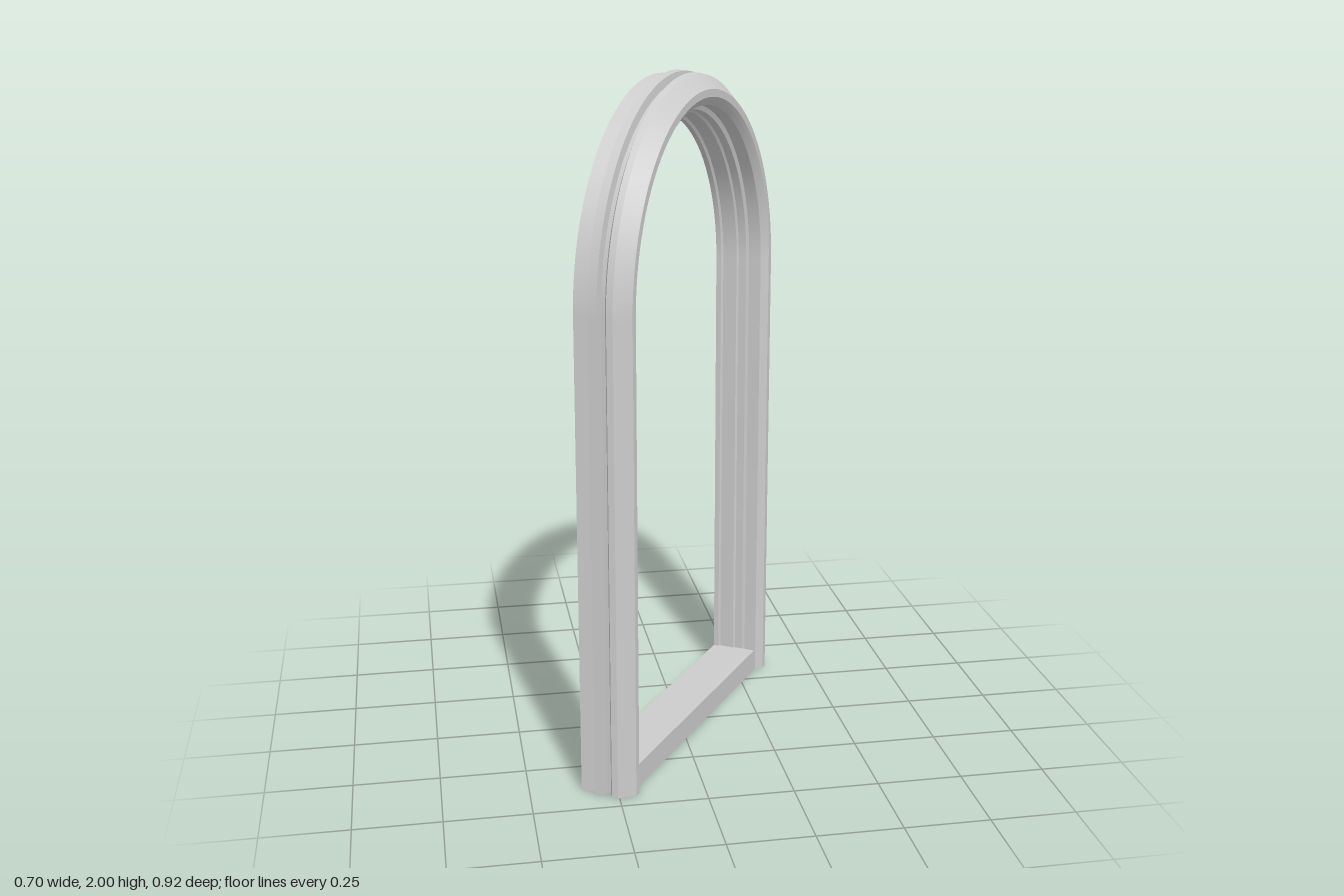
import * as THREE from 'three';

const SPRING = 1.39, CROWN = 2.0, OUTER = 0.528, ARC_STEPS = 48;
const RISE = (CROWN - SPRING) / OUTER; // the arch is a little taller than a half circle

// Moulding section [distance from centre line, depth], outer back -> front -> inner back
const SECTION = [
  [0.519, -0.066], [0.512, -0.021], [0.528, -0.018], [0.526, 0.007], [0.505, 0.010],
  [0.505, 0.022], [0.523, 0.034], [0.520, 0.052], [0.485, 0.093], [0.466, 0.093],
  [0.458, 0.086], [0.446, 0.074], [0.446, 0.035], [0.434, 0.030], [0.434, 0.005],
  [0.428, 0.000], [0.428, -0.045], [0.421, -0.050], [0.421, -0.066],
];

const material = new THREE.MeshStandardMaterial({ color: 0xcccccc, side: THREE.DoubleSide });

// Jamb, arch, jamb: one section point carried along the whole path
function sweepPoint([u, n]) {
  const points = [[u, 0, n]];
  for (let i = 0; i <= ARC_STEPS; i++) {
    const a = (Math.PI * i) / ARC_STEPS;
    points.push([u * Math.cos(a), SPRING + u * RISE * Math.sin(a), n]);
  }
  points.push([-u, 0, n]);
  return points;
}

// Each facet of the section has its own vertices, so edges stay sharp across
// the moulding while the surface is smooth along the arch
function sweepSection(section) {
  const positions = [], indices = [];
  for (let s = 0; s < section.length - 1; s++) {
    const a = sweepPoint(section[s]), b = sweepPoint(section[s + 1]);
    const base = positions.length / 3;
    for (let i = 0; i < a.length; i++) positions.push(...a[i], ...b[i]);
    for (let i = 0; i < a.length - 1; i++) {
      const k = base + i * 2;
      indices.push(k, k + 2, k + 1, k + 1, k + 2, k + 3);
    }
  }
  const geometry = new THREE.BufferGeometry();
  geometry.setAttribute('position', new THREE.Float32BufferAttribute(positions, 3));
  geometry.setIndex(indices);
  geometry.computeVertexNormals();
  return geometry;
}

function addMesh(parent, name, geometry) {
  const mesh = new THREE.Mesh(geometry, material);
  mesh.name = name;
  parent.add(mesh);
  return mesh;
}

export function createModel() {
  const model = new THREE.Group();
  model.name = 'archedFrame';

  // Moulded casing, open at the back and at the feet
  addMesh(model, 'archCasing', sweepSection(SECTION));

  // Sill: a top board and a front board
  const sill = new THREE.Group();
  sill.name = 'sill';
  const height = 0.07, front = 0.074, back = -0.066;
  const top = addMesh(sill, 'sillTop', new THREE.PlaneGeometry(0.87, front - back));
  top.rotation.x = -Math.PI / 2;
  top.position.set(0, height, (front + back) / 2);
  const face = addMesh(sill, 'sillFront', new THREE.PlaneGeometry(0.9, height));
  face.position.set(0, height / 2, front);
  model.add(sill);

  // The frame stands at an angle to the front
  model.rotation.y = 0.962;
  const root = new THREE.Group();
  root.name = 'windowFrame';
  root.add(model);
  return root;
}
